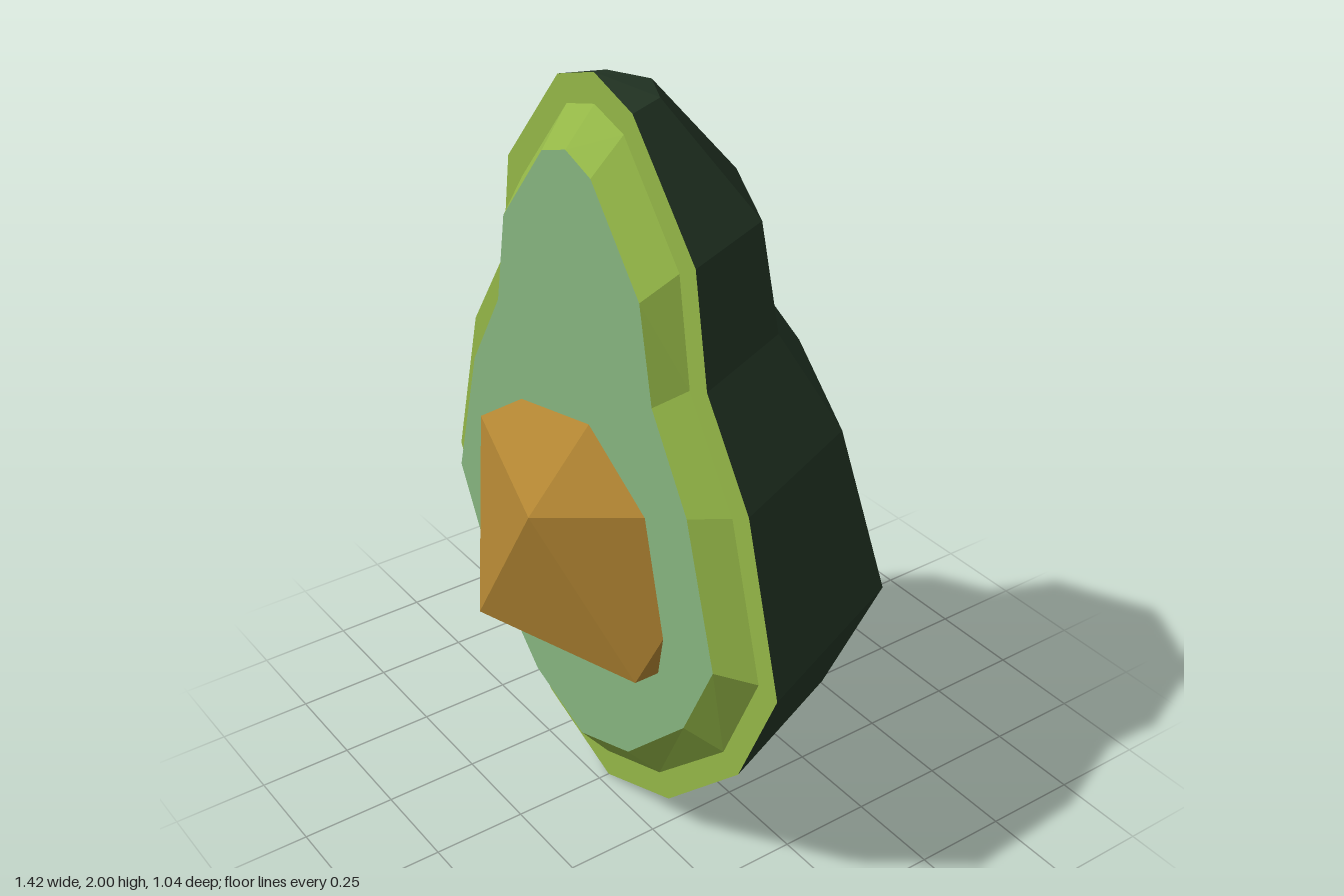
import * as THREE from 'three';
import { ConvexGeometry } from 'three/addons/geometries/ConvexGeometry.js';

const CUT_Z = 0.22;   // plane of the cut
const FLESH_Z = 0.30; // raised flesh face

// Half outlines [x, y], bottom to top
const OUTER = [[0, 0], [0.28, 0.11], [0.57, 0.39], [0.71, 0.7], [0.59, 1.14], [0.43, 1.385], [0.385, 1.67], [0.15, 1.95], [0, 2]];
const BEVEL = [[0, 0.08], [0.24, 0.17], [0.51, 0.42], [0.64, 0.705], [0.53, 1.105], [0.365, 1.36], [0.325, 1.635], [0.115, 1.89], [0, 1.925]];
const INNER = [[0, 0.18], [0.215, 0.26], [0.455, 0.495], [0.57, 0.73], [0.465, 1.1], [0.33, 1.325], [0.285, 1.57], [0.1, 1.8], [0, 1.835]];

// Full counter-clockwise loop from a half outline
function mirrorLoop(half) {
  const left = half.slice(1, -1).reverse().map(([x, y]) => [-x, y]);
  return [...half, ...left].map(([x, y]) => new THREE.Vector2(x, y));
}

// Flat-sided band between two loops at different depths
function band(outer, zOuter, inner, zInner) {
  const pos = [];
  const n = outer.length;
  for (let i = 0; i < n; i++) {
    const j = (i + 1) % n;
    const a = [outer[i].x, outer[i].y, zOuter], b = [outer[j].x, outer[j].y, zOuter];
    const c = [inner[j].x, inner[j].y, zInner], d = [inner[i].x, inner[i].y, zInner];
    pos.push(...a, ...b, ...c, ...a, ...c, ...d);
  }
  const g = new THREE.BufferGeometry();
  g.setAttribute('position', new THREE.Float32BufferAttribute(pos, 3));
  g.computeVertexNormals();
  return g;
}

function material(name, color) {
  const m = new THREE.MeshStandardMaterial({ color, flatShading: true });
  m.name = name;
  return m;
}

export function createModel() {
  const group = new THREE.Group();
  group.name = 'avocadoHalf';
  const skinMat = material('darkGreenSkin', 0x243726);
  const rimMat = material('limeRim', 0x94b747);
  const fleshMat = material('paleGreenFlesh', 0x86b57f);
  const pitMat = material('brownPit', 0xb08432);

  const add = (name, geometry, mat, z = 0) => {
    const mesh = new THREE.Mesh(geometry, mat);
    mesh.name = name;
    mesh.position.z = z;
    group.add(mesh);
  };

  // Skin: four-sided half lathe behind the cut, slightly deeper along the spine
  const skin = new THREE.LatheGeometry(OUTER.map(([x, y]) => new THREE.Vector2(x, y)), 4, Math.PI / 2, Math.PI);
  const p = skin.attributes.position;
  for (let i = 0; i < p.count; i++) {
    p.setZ(i, p.getZ(i) * (Math.abs(p.getX(i)) < 0.001 ? 1.04 : 0.985));
  }
  skin.computeVertexNormals();
  add('skin', skin, skinMat, CUT_Z);

  // Flat rim, bevel and flesh face
  const outer = mirrorLoop(OUTER), bevel = mirrorLoop(BEVEL), inner = mirrorLoop(INNER);
  add('rim', band(outer, CUT_Z, bevel, CUT_Z), rimMat);
  add('bevel', band(bevel, CUT_Z, inner, FLESH_Z), rimMat);
  add('flesh', new THREE.ShapeGeometry(new THREE.Shape(inner)), fleshMat, FLESH_Z);

  // Pit: upright icosahedron half sunk in the flesh
  const R = 0.47, ringR = 0.42, ringY = 0.21;
  const points = [new THREE.Vector3(0, R, 0), new THREE.Vector3(0, -R, 0)];
  for (let k = 0; k < 5; k++) {
    for (const s of [1, -1]) {
      const a = THREE.MathUtils.degToRad(18 * s + 72 * k);
      points.push(new THREE.Vector3(ringR * Math.sin(a), s * ringY, ringR * Math.cos(a)));
    }
  }
  const pit = new ConvexGeometry(points);
  pit.translate(0.01, 0.805, 0);
  add('pit', pit, pitMat, 0.12);

  return group;
}
